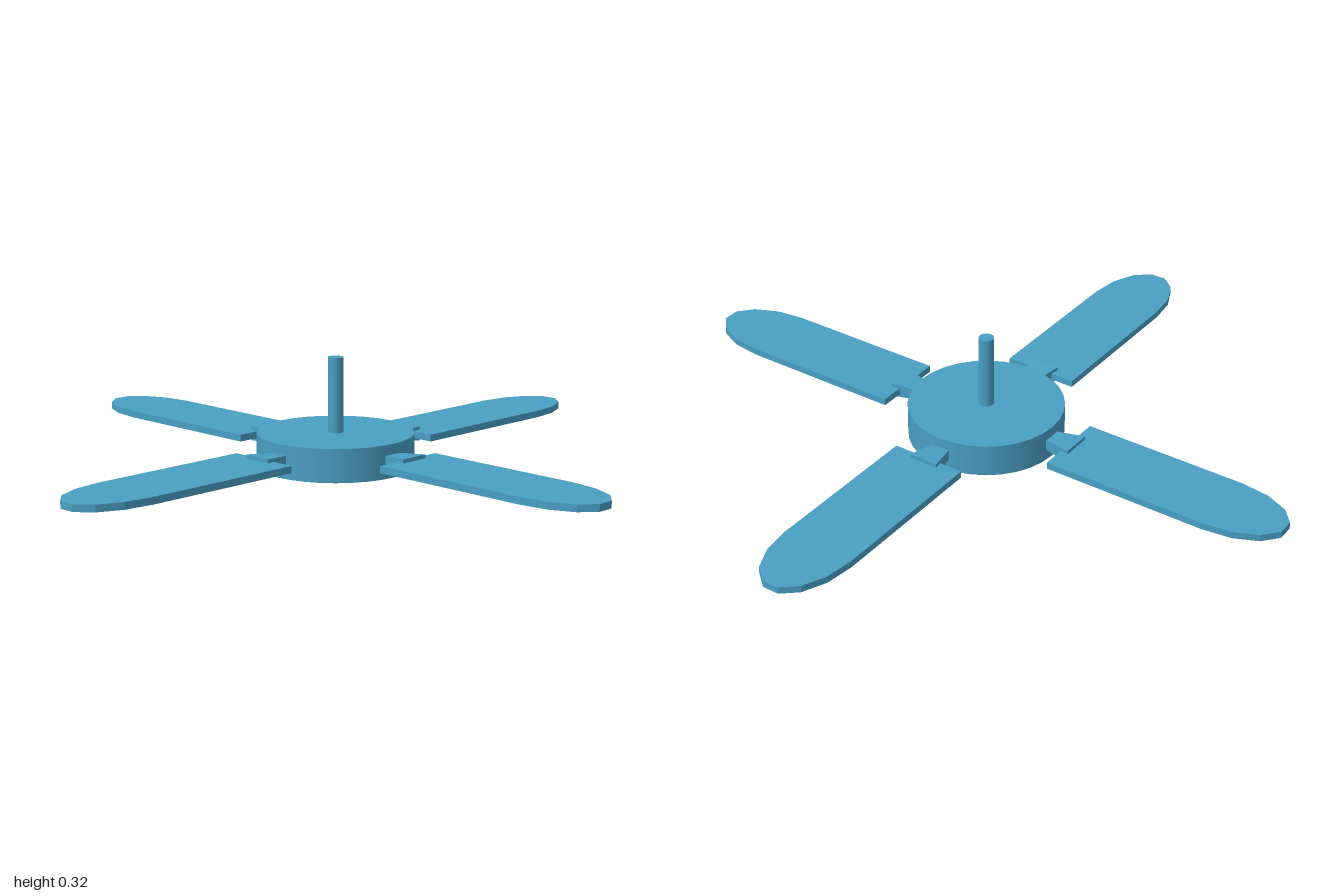
import * as THREE from 'three';

const HUB_RADIUS = 0.234, HUB_HEIGHT = 0.1, MID_Y = 0.053;

// Flat paddle pointing along +x with a faceted half-ellipse tip
function bladeGeometry() {
  const root = 0.292, straight = 0.8, half = 0.115, tip = 0.205, steps = 7, thickness = 0.021;
  const shape = new THREE.Shape();
  shape.moveTo(root, -half);
  for (let i = 0; i <= steps; i++) {
    const a = -Math.PI / 2 + (Math.PI * i) / steps;
    shape.lineTo(straight + tip * Math.cos(a), half * Math.sin(a));
  }
  shape.lineTo(root, half);
  const geometry = new THREE.ExtrudeGeometry(shape, { depth: thickness, bevelEnabled: false });
  return geometry.rotateX(-Math.PI / 2).translate(0, MID_Y - thickness / 2, 0);
}

// Block along +x that flares in width and height away from the hub
function bracketGeometry() {
  const inner = 0.2, outer = 0.318;
  const geometry = new THREE.BoxGeometry(outer - inner, 0.044, 0.092);
  geometry.translate((inner + outer) / 2, 0, 0);
  const p = geometry.attributes.position;
  for (let i = 0; i < p.count; i++) {
    if (p.getX(i) < (inner + outer) / 2) {
      p.setY(i, p.getY(i) * 0.62);
      p.setZ(i, p.getZ(i) * 0.48);
    }
  }
  geometry.translate(0, MID_Y, 0);
  geometry.computeVertexNormals();
  return geometry;
}

export function createModel() {
  const group = new THREE.Group();
  const material = new THREE.MeshStandardMaterial({ color: 0x4a9fc4 });
  const add = (name, geometry, parent = group) => {
    const mesh = new THREE.Mesh(geometry, material);
    mesh.name = name;
    parent.add(mesh);
    return mesh;
  };

  // Motor housing and the rod it hangs from
  add('motorHousing', new THREE.CylinderGeometry(HUB_RADIUS, HUB_RADIUS, HUB_HEIGHT, 32))
    .position.y = HUB_HEIGHT / 2;
  add('downRod', new THREE.CylinderGeometry(0.023, 0.023, 0.235, 16)).position.y = 0.2075;

  // Four arms, each a bracket and a blade
  const blade = bladeGeometry(), bracket = bracketGeometry();
  for (let i = 0; i < 4; i++) {
    const arm = new THREE.Group();
    arm.name = `arm${i + 1}`;
    arm.rotation.y = (i * Math.PI) / 2;
    add('bracket', bracket, arm);
    add('blade', blade, arm);
    group.add(arm);
  }
  return group;
}
